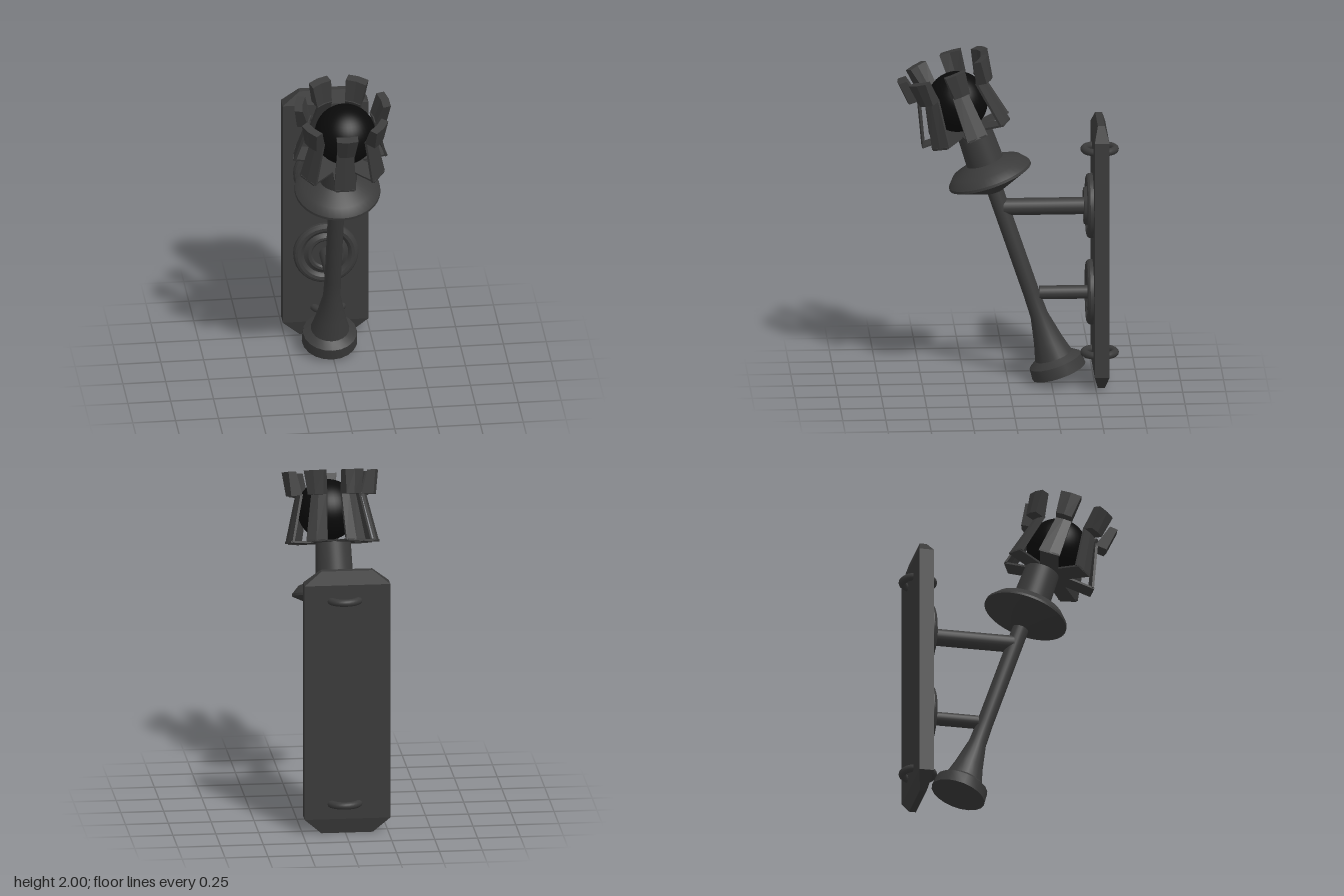
import * as THREE from 'three';
import { toCreasedNormals } from 'three/addons/utils/BufferGeometryUtils.js';

const iron = new THREE.MeshStandardMaterial({ color: 0x3a3a3a, side: THREE.DoubleSide });
const black = new THREE.MeshStandardMaterial({ color: 0x0a0a0a });

function add(parent, name, geometry, x = 0, y = 0, z = 0, material = iron) {
  const mesh = new THREE.Mesh(geometry, material);
  mesh.name = name;
  mesh.position.set(x, y, z);
  parent.add(mesh);
  return mesh;
}

function lathe(points, segments = 32) {
  const profile = points.map(([r, y]) => new THREE.Vector2(r, y));
  return toCreasedNormals(new THREE.LatheGeometry(profile, segments), 0.5);
}

// Stack of rectangular sections: rows of [y, halfWidth, zBack, zFront], low to high
function slab(rows, bulge = 0) {
  const n = rows.length - 1;
  const geo = new THREE.BoxGeometry(2, n, 2, 2, n, 1);
  const p = geo.attributes.position;
  for (let i = 0; i < p.count; i++) {
    const [y, w, back, front] = rows[Math.round(p.getY(i) + n / 2)];
    const u = p.getX(i);
    const z = p.getZ(i) < 0 ? back : front;
    p.setXYZ(i, u * w, y, z - bulge * u * u);
  }
  const flat = geo.toNonIndexed();
  flat.computeVertexNormals();
  return flat;
}

export function createModel() {
  const model = new THREE.Group();
  model.name = 'wallTorch';
  const cx = -0.01;

  // Wall plate with tapered ends
  add(model, 'wallPlate', slab([
    [0, 0.15, -0.02, 0.02],
    [0.09, 0.25, -0.043, 0.043],
    [1.5, 0.25, -0.043, 0.043],
    [1.58, 0.15, -0.02, 0.02],
  ]), cx, 0, -0.533);

  // Fixing rings through the plate
  for (const y of [0.18, 1.405]) {
    const ring = add(model, 'fixingRing', new THREE.TorusGeometry(0.09, 0.022, 12, 32), 0.005, y, -0.53);
    ring.rotation.x = Math.PI / 2;
  }

  // Rosettes and the arms that carry the shaft
  const brackets = [
    { y: 0.54, arm: 0.04, tip: -0.18, centre: 0.035 },
    { y: 1.06, arm: 0.05, tip: 0.03, centre: 0.055 },
  ];
  for (const b of brackets) {
    const rosette = add(model, 'rosette', lathe([
      [0.19, 0], [0.19, 0.022], [0.182, 0.034], [0.168, 0.04], [0.15, 0.038],
      [0.137, 0.028], [0.13, 0.018], [0.118, 0.024], [0.105, b.centre],
      [0.09, b.centre], [0.08, 0.025], [0, 0.025],
    ]), cx, b.y, -0.492);
    rosette.rotation.x = Math.PI / 2;
    const length = b.tip + 0.48;
    const arm = add(model, 'arm', new THREE.CylinderGeometry(b.arm, b.arm, length, 20), cx, b.y, b.tip - length / 2);
    arm.rotation.x = Math.PI / 2;
  }

  // Leaning torch, built upright along y
  const torch = new THREE.Group();
  torch.name = 'torch';
  torch.position.set(cx, 0.065, -0.295);
  torch.rotation.x = THREE.MathUtils.degToRad(18.7);
  model.add(torch);

  add(torch, 'shaft', lathe([
    [0, 0], [0.162, 0], [0.157, 0.068], [0.112, 0.1],
    [0.085, 0.2], [0.052, 0.36], [0.048, 0.5], [0.048, 1.17],
  ], 20));
  add(torch, 'collar', lathe([
    [0, 1.155], [0.055, 1.155], [0.25, 1.245], [0.248, 1.26],
    [0.21, 1.305], [0.11, 1.345], [0.103, 1.555], [0, 1.555],
  ], 40));

  // Crown of seven petals: floor strip, leaning leg and thick outer tip
  const crown = new THREE.Group();
  crown.name = 'crown';
  crown.position.z = 0.045;
  torch.add(crown);
  for (let i = 0; i < 7; i++) {
    const petal = new THREE.Group();
    petal.name = 'petal';
    petal.rotation.y = (i * Math.PI * 2) / 7;
    crown.add(petal);
    add(petal, 'petalFloor', slab([[1.55, 0.055, 0.03, 0.27], [1.562, 0.055, 0.03, 0.27]]));
    add(petal, 'petalLeg', slab([[1.555, 0.064, 0.258, 0.272], [1.835, 0.047, 0.19, 0.206]], 0.006));
    add(petal, 'petalTip', slab([[1.825, 0.048, 0.195, 0.265], [1.965, 0.062, 0.235, 0.282]], 0.008));
  }

  // Dark ball held in the crown
  add(model, 'ball', new THREE.SphereGeometry(0.177, 40, 28), 0.012, 1.705, 0.297, black);

  return model;
}
